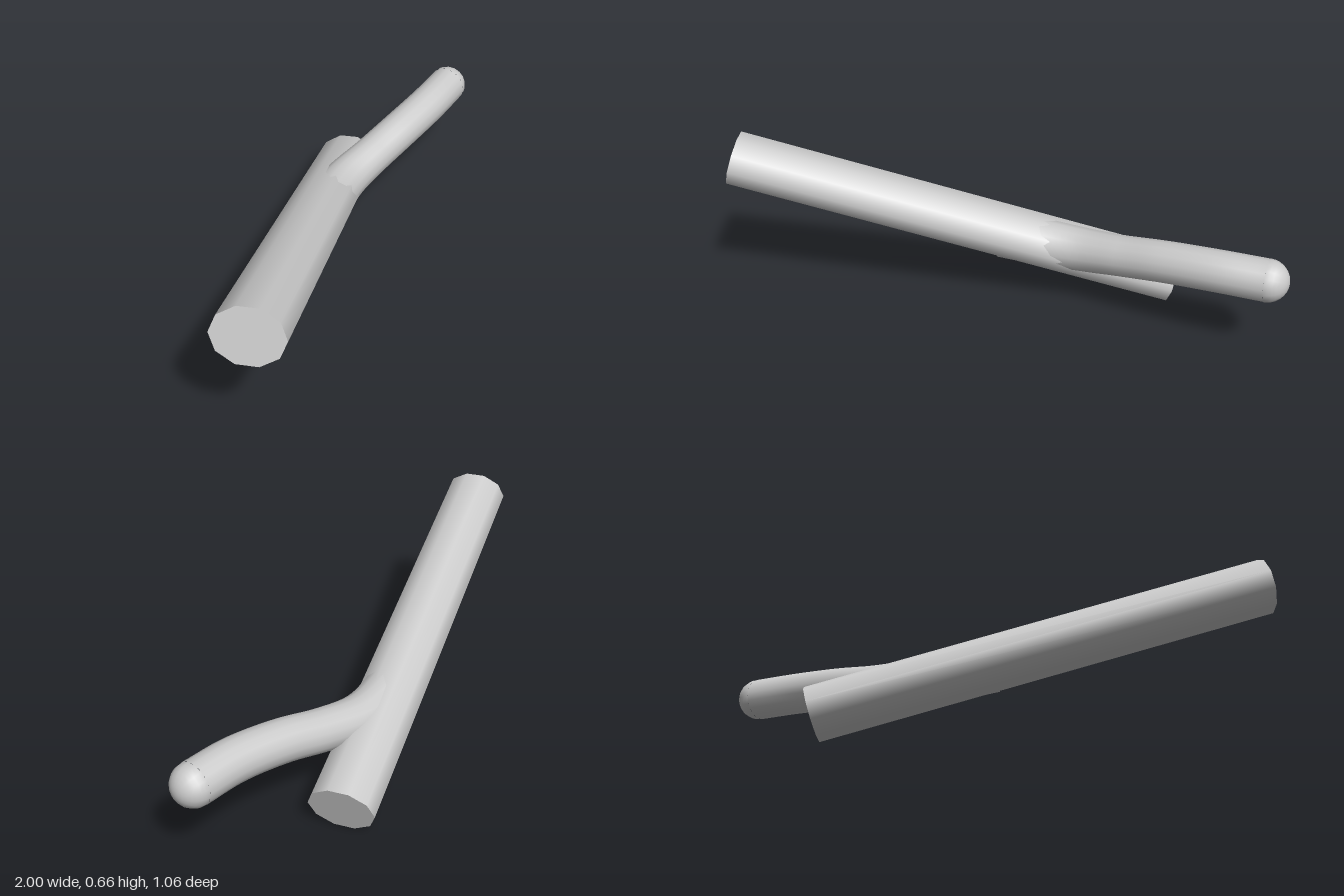
import * as THREE from 'three';

const v3 = (x, y, z) => new THREE.Vector3(x, y, z);

export function createModel() {
  const group = new THREE.Group();
  group.name = 'forkedBranch';
  const material = new THREE.MeshStandardMaterial({ color: 0xcccccc });
  const add = (geometry, name) => {
    const mesh = new THREE.Mesh(geometry, material);
    mesh.name = name;
    group.add(mesh);
    return mesh;
  };

  // Main stem: straight ten-sided pole with a flattened oval section and flat cut ends
  const start = v3(-0.94, 0.57, 0.412), end = v3(0.473, 0.093, -0.437);
  const axis = end.clone().sub(start);
  const length = axis.length();
  axis.normalize();
  const wide = v3(-axis.z, 0, axis.x).normalize();
  const tall = axis.clone().cross(wide);
  const stem = new THREE.CylinderGeometry(1, 1, length, 10);
  stem.scale(0.1, 1, 0.121);
  stem.applyMatrix4(new THREE.Matrix4().makeBasis(tall, axis, wide)
    .setPosition(start.clone().add(end).multiplyScalar(0.5)));
  add(stem, 'mainStem');

  // Side shoot: curved tube that starts inside the stem and tapers outwards
  const path = new THREE.CatmullRomCurve3([
    v3(-0.08, 0.272, -0.09), v3(0.06, 0.242, -0.165), v3(0.2, 0.235, -0.208),
    v3(0.38, 0.26, -0.217), v3(0.55, 0.292, -0.218), v3(0.75, 0.315, -0.232),
    v3(0.922, 0.32, -0.263),
  ]);
  const rings = 32, sides = 16, tipRadius = 0.078;
  const shoot = new THREE.TubeGeometry(path, rings, 1, sides, false);
  const pos = shoot.attributes.position, p = v3(0, 0, 0);
  for (let i = 0; i < pos.count; i++) {
    const u = Math.floor(i / (sides + 1)) / rings;
    const radius = tipRadius + 0.014 * (1 - THREE.MathUtils.smoothstep(u, 0.1, 0.5));
    const centre = path.getPointAt(u);
    p.fromBufferAttribute(pos, i).sub(centre).multiplyScalar(radius).add(centre);
    pos.setXYZ(i, p.x, p.y, p.z);
  }
  add(shoot, 'sideShoot');

  // Rounded tip closing the shoot
  const tip = add(new THREE.SphereGeometry(tipRadius, sides, 8, 0, Math.PI * 2, 0, Math.PI / 2), 'shootTip');
  tip.position.copy(path.getPointAt(1));
  tip.quaternion.setFromUnitVectors(v3(0, 1, 0), path.getTangentAt(1));

  return group;
}
